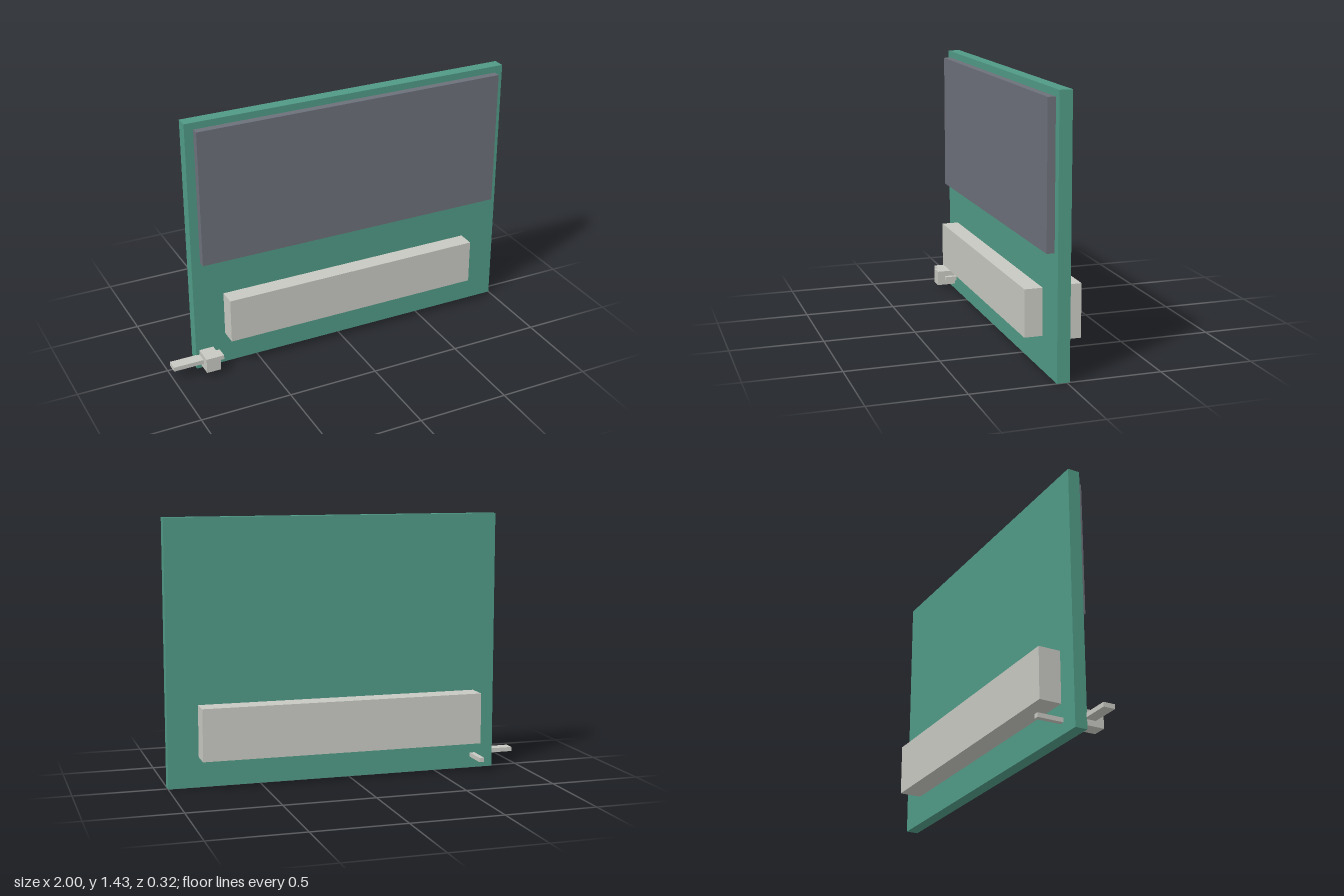
import * as THREE from 'three';

const material = (name, color) => {
  const m = new THREE.MeshStandardMaterial({ color });
  m.name = name;
  return m;
};

export function createModel() {
  const model = new THREE.Group();
  model.name = 'displayModule';
  const green = material('board green', 0x509a85);
  const slate = material('screen slate', 0x6c7079);
  const pale = material('pale grey', 0xc8c8c2);

  // Adds a box spanning the given [min, max] range on each axis
  const addBox = (name, mat, [x0, x1], [y0, y1], [z0, z1]) => {
    const mesh = new THREE.Mesh(new THREE.BoxGeometry(x1 - x0, y1 - y0, z1 - z0), mat);
    mesh.position.set((x0 + x1) / 2, (y0 + y1) / 2, (z0 + z1) / 2);
    mesh.name = name;
    model.add(mesh);
  };

  const back = -0.015, front = 0.052; // board faces

  // Board and screen
  addBox('board', green, [-0.85, 1], [0, 1.433], [back, front]);
  addBox('screen', slate, [-0.802, 0.954], [0.642, 1.396], [front, 0.093]);

  // Long blocks on both faces
  addBox('frontBlock', pale, [-0.68, 0.792], [0.179, 0.427], [front, 0.147]);
  addBox('backBlock', pale, [-0.729, 0.834], [0.163, 0.445], [-0.137, back]);

  // Side lever, its hub and the pin through the board
  addBox('lever', pale, [-1, -0.832], [0.061, 0.085], [0.048, 0.112]);
  addBox('leverHub', pale, [-0.832, -0.752], [0.03, 0.113], [front, 0.158]);
  addBox('pin', pale, [-0.744, -0.716], [0.061, 0.085], [-0.158, 0.117]);

  return model;
}
